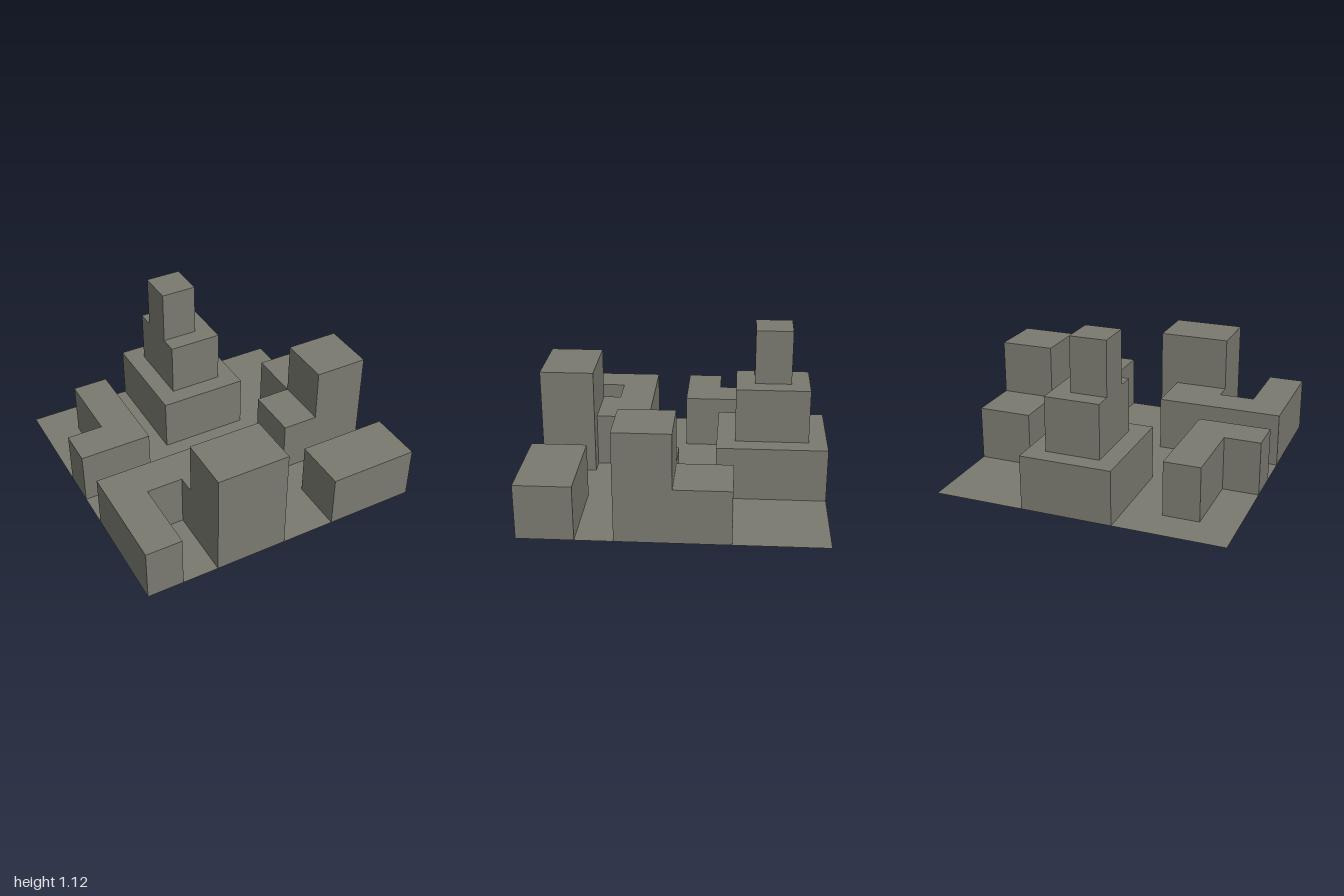
import * as THREE from 'three';
import { mergeGeometries } from 'three/addons/utils/BufferGeometryUtils.js';

const CELL = 0.125;   // plan grid, outlines below are in cells as [x, z]
const STOREY = 0.375; // height of one storey

const concrete = new THREE.MeshStandardMaterial({ color: 0x7a7a70, side: THREE.DoubleSide });
concrete.name = 'concrete';

// Rectangle outline, back left corner first
const rect = (x0, z0, x1, z1) => [[x0, z0], [x1, z0], [x1, z1], [x0, z1]];

// Flat horizontal sheet at a storey level, optionally with a hole
function sheet(outline, level, hole) {
  const points = (list) => list.map(([x, z]) => new THREE.Vector2(x * CELL, -z * CELL));
  const shape = new THREE.Shape(points(outline));
  if (hole) shape.holes.push(new THREE.Path(points(hole)));
  return new THREE.ShapeGeometry(shape).rotateX(-Math.PI / 2).translate(0, level * STOREY, 0);
}

// One upright wall along each edge of the outline, one storey high
function walls(outline, level) {
  return outline.map(([ax, az], i) => {
    const [bx, bz] = outline[(i + 1) % outline.length];
    const dx = bx - ax, dz = bz - az;
    return new THREE.PlaneGeometry(Math.hypot(dx, dz) * CELL, STOREY)
      .rotateY(Math.atan2(dz, -dx))
      .translate((ax + bx) / 2 * CELL, (level + 0.5) * STOREY, (az + bz) / 2 * CELL);
  });
}

function part(name, geometries) {
  const mesh = new THREE.Mesh(mergeGeometries(geometries), concrete);
  mesh.name = name;
  return mesh;
}

// Hollow storey: walls plus the roof pieces left uncovered by the storey above
function storey(name, outline, level, roofs = [outline], hole) {
  return part(name, [...walls(outline, level), ...roofs.map((r) => sheet(r, level + 1, hole))]);
}

function building(name, ...storeys) {
  const group = new THREE.Group();
  group.name = name;
  group.add(...storeys);
  return group;
}

export function createModel() {
  const model = new THREE.Group();
  model.name = 'cityBlock';

  // Streets, cut out around every building, and the small front courtyard
  const streets = [
    [-8, -8], [-2, -8], [-2, -2], [3, -2], [3, -8], [8, -8],
    [8, -3], [5, -3], [5, 0], [3, 0], [3, 3], [8, 3],
    [8, 5], [3, 5], [3, 8], [0, 8], [0, 5], [-1, 5], [-1, 2], [-8, 2],
    [-8, 0], [-4, 0], [-4, -6], [-6, -6], [-6, -2], [-8, -2],
  ];
  model.add(part('streets', [sheet(streets, 0)]));
  model.add(part('courtyard', [sheet(rect(-6, 4, -4, 8), 0)]));

  // Stepped tower at the back
  const tiers = [rect(-2, -8, 3, -2), rect(-1, -7, 2, -3), rect(-1, -6, 1, -4)];
  model.add(building('steppedTower',
    ...tiers.map((t, i) => storey(`tier${i + 1}`, t, i, [t], tiers[i + 1]))));

  // Low L-shaped house at the back
  model.add(building('lowHouse',
    storey('lowHouseStorey', [[-6, -6], [-4, -6], [-4, 0], [-8, 0], [-8, -2], [-6, -2]], 0)));

  // Courtyard house with a tall front wing
  const courtFootprint = [
    [-8, 2], [-1, 2], [-1, 5], [0, 5], [0, 8], [-4, 8], [-4, 4], [-6, 4], [-6, 8], [-8, 8],
  ];
  const courtRoof = [
    [-8, 2], [-1, 2], [-1, 5], [-4, 5], [-4, 4], [-6, 4], [-6, 8], [-8, 8],
  ];
  model.add(building('courtyardHouse',
    storey('courtyardLowerStorey', courtFootprint, 0, [courtRoof]),
    storey('courtyardUpperStorey', rect(-4, 5, 0, 8), 1)));

  // Corner house with a tall block between two low wings
  model.add(building('cornerHouse',
    storey('cornerLowerStorey', [[5, -3], [8, -3], [8, 3], [3, 3], [3, 0], [5, 0]], 0,
      [rect(5, -3, 8, 0), rect(3, 0, 5, 3)]),
    storey('cornerUpperStorey', rect(5, 0, 8, 3), 1)));

  // Plain front hall
  model.add(building('frontHall', storey('frontHallStorey', rect(3, 5, 8, 8), 0)));

  return model;
}
